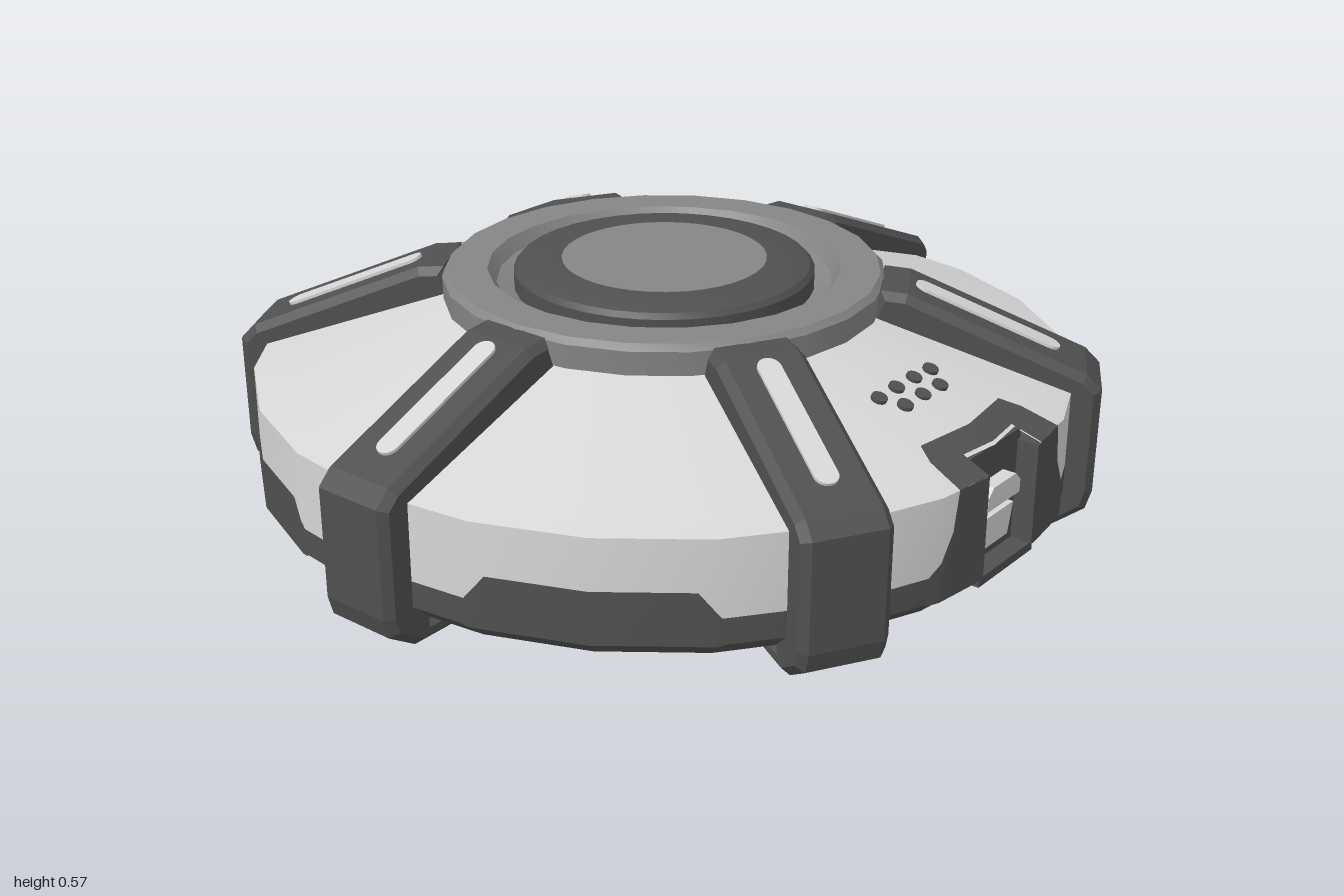
import * as THREE from 'three';
import { toCreasedNormals } from 'three/addons/utils/BufferGeometryUtils.js';

const DEG = Math.PI / 180;
const R = 0.945, RIM_Y = 0.335, GAP = 6.7;

const mat = (name, color) => {
  const m = new THREE.MeshStandardMaterial({ color });
  m.name = name;
  return m;
};

// Height of the sloping upper shell at a given radius
const coneY = (r) => RIM_Y + (R - r) * 0.348;

// Radius factor that follows the flat facets of the 24-sided shell
const facet = (deg) => {
  const a = ((deg % 15) + 15) % 15 - 7.5;
  return Math.cos(7.5 * DEG) / Math.cos(a * DEG);
};

// Surface strip from columns [angle, low, high]; map(v) gives [radius, y]
function patch(cols, map) {
  const sorted = [...cols].sort((a, b) => a[0] - b[0]);
  const pos = [], idx = [];
  sorted.forEach(([deg, lo, hi], i) => {
    for (const v of [lo, hi]) {
      const [r, y] = map(v);
      const rr = r * facet(deg);
      pos.push(rr * Math.sin(deg * DEG), y, rr * Math.cos(deg * DEG));
    }
    if (i) {
      const a = 2 * i - 2;
      idx.push(a, a + 2, a + 3, a, a + 3, a + 1);
    }
  });
  const g = new THREE.BufferGeometry();
  g.setAttribute('position', new THREE.Float32BufferAttribute(pos, 3));
  g.setIndex(idx);
  g.computeVertexNormals();
  return g;
}

const onWall = (lift) => (y) => [R + lift, y];
const onCone = (lift) => (r) => [r, coneY(r) + lift];

const lathe = (pts, seg) => toCreasedNormals(
  new THREE.LatheGeometry(pts.map(([x, y]) => new THREE.Vector2(x, y)), seg), 0.4);

const polygon = (pts) => new THREE.Shape(pts.map(([x, y]) => new THREE.Vector2(x, y)));

// Flat plate with round ends, lying in the xz plane
function pill(length, width, thick) {
  const h = length / 2 - width / 2, r = width / 2;
  const s = new THREE.Shape();
  s.absarc(h, 0, r, -Math.PI / 2, Math.PI / 2);
  s.absarc(-h, 0, r, Math.PI / 2, Math.PI * 1.5);
  return new THREE.ExtrudeGeometry(s, { depth: thick, bevelEnabled: false, curveSegments: 5 })
    .rotateX(-Math.PI / 2);
}

export function createModel() {
  const light = mat('light grey', 0xd6d6d6);
  const mid = mat('mid grey', 0x858585);
  const dark = mat('dark grey', 0x505050);
  const model = new THREE.Group();
  const add = (parent, name, geo, m) => {
    const mesh = new THREE.Mesh(geo, m);
    mesh.name = name;
    parent.add(mesh);
    return mesh;
  };

  // Upper shell, lower rim and top hub
  add(model, 'upperShell', lathe([[0.885, coneY(0.885)], [0.48, coneY(0.48)]], 24), light);
  add(model, 'hubRing', lathe([[0.505, 0.45], [0.508, 0.542], [0.495, 0.556], [0.405, 0.556],
    [0.385, 0.525], [0.33, 0.505]], 24), mid);
  add(model, 'hubKnob', lathe([[0.345, 0.5], [0.345, 0.55], [0.335, 0.562], [0.315, 0.569],
    [0.23, 0.572]], 36), dark);
  add(model, 'hubDisc', new THREE.CylinderGeometry(0.235, 0.235, 0.006, 36).translate(0, 0.57, 0), mid);

  // Walls on each side, open at the front and back notches
  const arc = [GAP];
  for (let a = 15; a <= 165; a += 15) arc.push(a);
  arc.push(180 - GAP);
  for (const turn of [0, 180]) {
    const side = new THREE.Group();
    side.name = turn ? 'rightWall' : 'leftWall';
    side.rotation.y = turn * DEG;
    model.add(side);
    add(side, 'lowerBand', patch(arc.map((a) => [a, 0.1, 0.16]), onWall(0)), dark);
    add(side, 'upperBand', patch(arc.map((a) => [a, 0.16, RIM_Y]), onWall(0)), light);
    add(side, 'shellEdge', patch(arc.map((a) => [a, R, 0.885]), onCone(0)), light);
    // Raised trapezoid trims between the legs
    for (const c of [60, 120]) {
      const cols = [[-16, 0.16], [-15, 0.18], [-13, 0.22], [0, 0.22], [13, 0.22], [15, 0.18], [16, 0.16]]
        .map(([a, h]) => [c + a, 0.1, h]);
      add(side, 'wallTrim', patch(cols, onWall(0.004)), dark);
    }
    // Half of the underside, chamfered outward, leaving a central channel
    const edge = [[0.11, 0.93]];
    for (let a = 15; a <= 165; a += 15) edge.push([R * Math.sin(a * DEG), R * Math.cos(a * DEG)]);
    edge.push([0.11, -0.93]);
    const base = new THREE.ExtrudeGeometry(polygon(edge), { depth: 0.045, bevelEnabled: false })
      .rotateX(Math.PI / 2).translate(0, 0.102, 0);
    const p = base.attributes.position;
    for (let i = 0; i < p.count; i++) {
      if (p.getY(i) < 0.08) {
        const k = Math.abs(p.getX(i)) < 0.12 ? 1 : 0.95;
        p.setXYZ(i, p.getX(i) * k, p.getY(i), p.getZ(i) * 0.95);
      }
    }
    base.computeVertexNormals();
    add(side, 'underside', base, dark);
  }
  add(model, 'channelCeiling', new THREE.CircleGeometry(0.92, 24).rotateX(Math.PI / 2).translate(0, 0.083, 0), dark);

  // Six wrap-around legs, each with a light strip
  const legShape = polygon([[0.77, 0], [0.915, 0], [0.985, 0.045], [0.998, 0.09], [1, 0.34], [0.965, 0.375],
    [0.56, 0.543], [0.5, 0.548], [0.47, 0.47], [0.87, 0.3], [0.87, 0.052], [0.77, 0.052]]);
  const bevel = 0.018;
  const legGeo = new THREE.ExtrudeGeometry(legShape, {
    depth: 0.2 - 2 * bevel, bevelThickness: bevel, bevelSize: bevel, bevelOffset: -bevel, bevelSegments: 1,
  }).translate(0, 0, bevel - 0.1);
  const slope = Math.atan2(0.168, 0.405);
  const stripGeo = pill(0.355, 0.052, 0.008).rotateZ(-slope).translate(0.738, 0.468, 0);
  for (let i = 0; i < 6; i++) {
    const leg = new THREE.Group();
    leg.name = 'leg';
    leg.rotation.y = i * 60 * DEG;
    add(leg, 'legBracket', legGeo, dark);
    add(leg, 'legStrip', stripGeo, light);
    model.add(leg);
  }

  // Front and back notches with frame, inset panels and vent holes
  for (const turn of [0, 180]) {
    const notch = new THREE.Group();
    notch.name = turn ? 'backNotch' : 'frontNotch';
    notch.rotation.y = turn * DEG;
    model.add(notch);
    const box = (name, w, h, d, x, y, z) =>
      add(notch, name, new THREE.BoxGeometry(w, h, d).translate(x, y, z), dark);
    box('notchBack', 0.22, 0.26, 0.03, 0, 0.226, 0.868);
    box('notchSill', 0.22, 0.02, 0.12, 0, 0.09, 0.87);
    for (const s of [-1, 1]) {
      box('notchCheek', 0.012, 0.235, 0.075, s * 0.106, 0.215, 0.896);
      const cols = [[GAP - 0.3, RIM_Y + 0.004], [12.2, RIM_Y + 0.004], [13, 0.25], [15, 0.19], [17, 0.16]]
        .map(([a, h]) => [s * a, 0.1, h]);
      add(notch, 'frameArm', patch(cols, onWall(0.005)), dark);
      add(notch, 'frameShoulder',
        patch([[s * (GAP - 0.3), R + 0.005, 0.87], [s * 12.2, R + 0.005, 0.87]], onCone(0.006)), dark);
    }
    add(notch, 'frameTop', patch([[-12.2, 0.88, 0.865], [-11, 0.88, 0.82], [0, 0.88, 0.82],
      [11, 0.88, 0.82], [12.2, 0.88, 0.865]], onCone(0.006)), dark);
    const upper = polygon([[-0.065, 0.232], [0.065, 0.232], [0.065, 0.262], [0.045, 0.282], [-0.045, 0.282], [-0.065, 0.262]]);
    const lower = polygon([[-0.048, 0.135], [0.048, 0.135], [0.065, 0.205], [-0.065, 0.205]]);
    for (const [name, shape, depth] of [['upperInset', upper, 0.035], ['lowerInset', lower, 0.022]]) {
      add(notch, name, new THREE.ExtrudeGeometry(shape, { depth, bevelEnabled: false }).translate(0, 0, 0.88), light);
    }
    // Two staggered rows of vents
    for (const [z, xs] of [[0.66, [-0.1, -0.034, 0.034, 0.1]], [0.705, [-0.068, 0, 0.068]]]) {
      for (const x of xs) {
        const vent = add(notch, 'vent', new THREE.CylinderGeometry(0.018, 0.018, 0.009, 12), dark);
        vent.position.set(x, coneY(Math.hypot(x, z)) + 0.002, z);
        vent.rotation.x = Math.atan(0.348);
      }
    }
  }
  return model;
}
